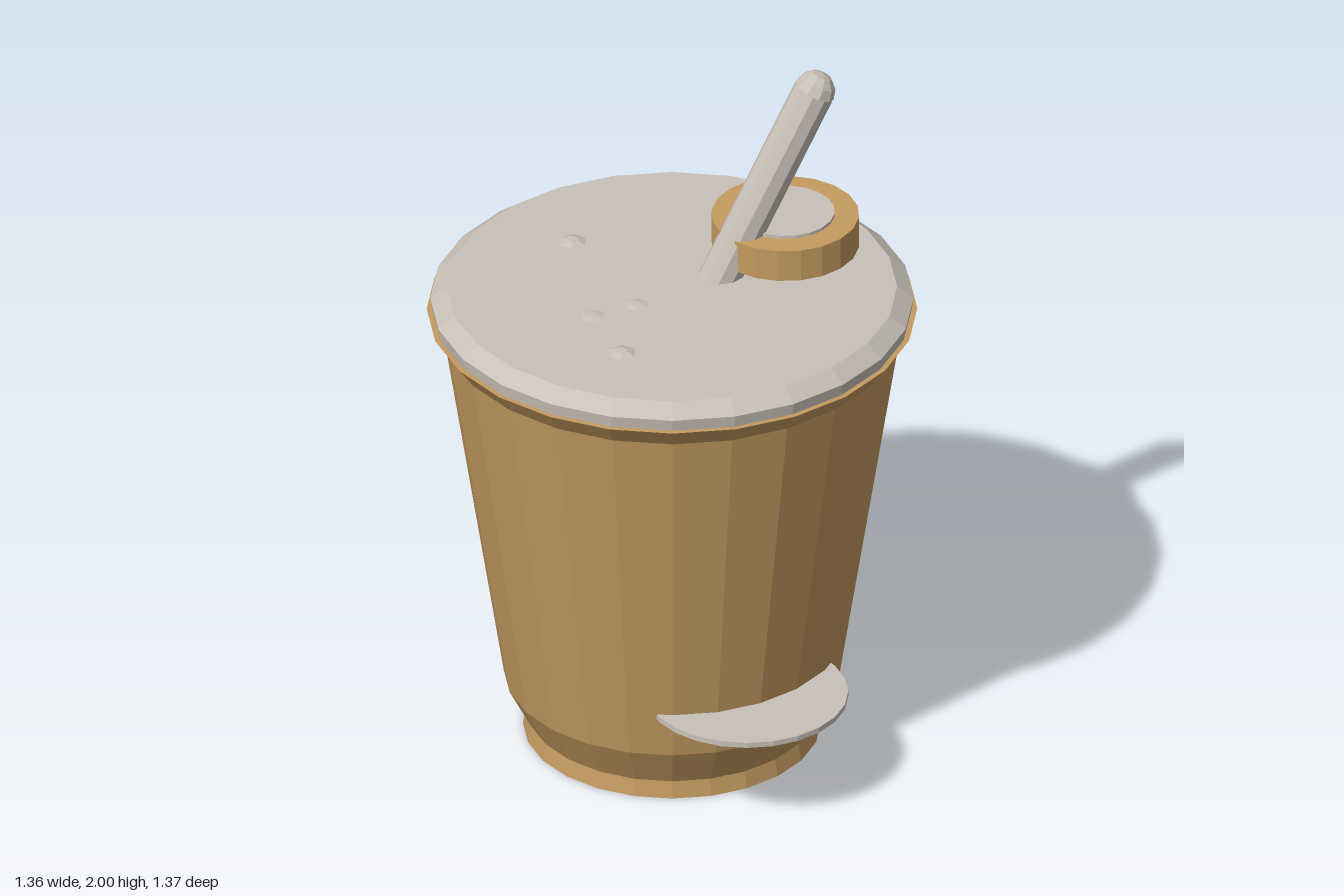
import * as THREE from 'three';

const brown = new THREE.MeshStandardMaterial({ color: 0xc49a60, flatShading: true });
brown.name = 'tan brown';
const grey = new THREE.MeshStandardMaterial({ color: 0xc8c1b8, flatShading: true });
grey.name = 'warm grey';

const SIDES = 24;

function add(group, name, geometry, material, x = 0, y = 0, z = 0) {
  const mesh = new THREE.Mesh(geometry, material);
  mesh.name = name;
  mesh.position.set(x, y, z);
  group.add(mesh);
  return mesh;
}

// Turned shape from [radius, height] pairs, bottom to top
const turned = (profile) =>
  new THREE.LatheGeometry(profile.map(([r, y]) => new THREE.Vector2(r, y)), SIDES);

export function createModel() {
  const model = new THREE.Group();
  model.name = 'drinkCup';
  const cz = -0.005;

  // Cup with foot, tapered wall and flared rim
  add(model, 'cupBody', turned([
    [0, 0], [0.412, 0], [0.403, 0.05], [0.465, 0.17], [0.635, 1.27], [0.678, 1.33], [0.6, 1.33],
  ]), brown, 0, 0, cz);

  // Bevelled lid
  add(model, 'lid', turned([
    [0.6, 1.325], [0.662, 1.325], [0.668, 1.365], [0.622, 1.4], [0, 1.4],
  ]), grey, 0, 0, cz);

  // Small low bumps on the lid: x, z, radius, height
  for (const [x, z, r, h] of [
    [-0.115, -0.355, 0.042, 0.009], [-0.3, 0.235, 0.042, 0.009],
    [-0.268, 0.023, 0.036, 0.004], [-0.133, 0.03, 0.034, 0.004],
  ]) {
    const bump = new THREE.CylinderGeometry(r * 0.4, r, h, 6);
    bump.rotateY(Math.PI / 6);
    add(model, 'lidBump', bump, grey, x, 1.4 + h / 2, z);
  }

  // Leaning straw with a rounded tip
  const base = new THREE.Vector3(0.14, 1.37, -0.002);
  const tip = new THREE.Vector3(0.415, 1.941, 0.063);
  const axis = tip.clone().sub(base);
  const straw = new THREE.Group();
  straw.name = 'straw';
  straw.position.copy(base);
  straw.quaternion.setFromUnitVectors(new THREE.Vector3(0, 1, 0), axis.clone().normalize());
  const length = axis.length();
  add(straw, 'strawTube', new THREE.CylinderGeometry(0.059, 0.059, length, 10), grey, 0, length / 2, 0);
  add(straw, 'strawTip',
    new THREE.SphereGeometry(0.059, 10, 3, 0, Math.PI * 2, 0, Math.PI / 2), grey, 0, length, 0);
  model.add(straw);

  // Round button floating beside the straw, with a pale inset
  add(model, 'button', new THREE.CylinderGeometry(0.205, 0.205, 0.095, 20), brown, 0.363, 1.478, -0.007);
  add(model, 'buttonInset', new THREE.CylinderGeometry(0.137, 0.137, 0.01, 20), grey, 0.363, 1.53, -0.007);

  // Thin round plate poking out of the front of the cup
  add(model, 'frontPlate', new THREE.CylinderGeometry(0.28, 0.28, 0.016, SIDES), grey, 0, 0.304, 0.408);

  return model;
}
